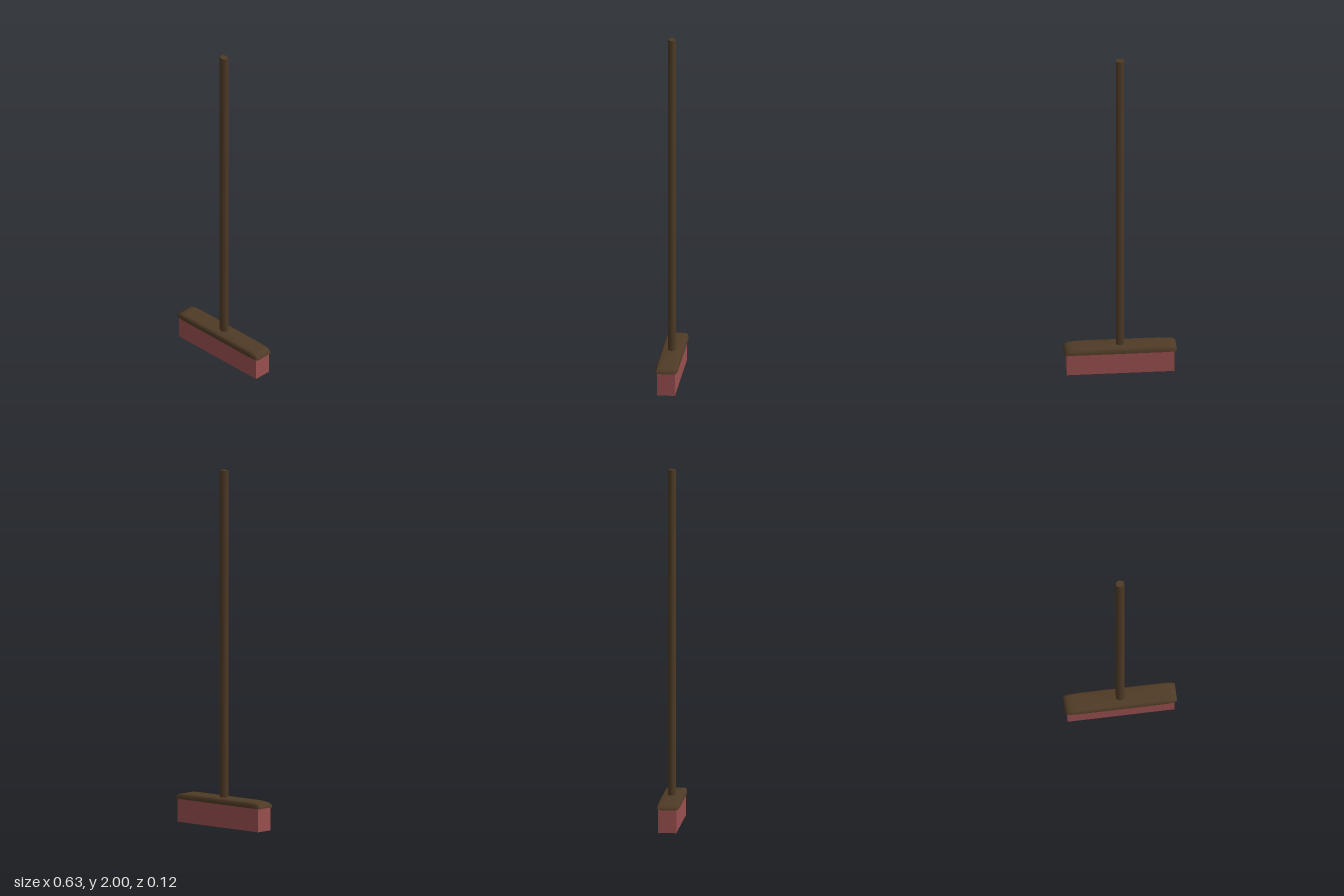
import * as THREE from 'three';

const wood = new THREE.MeshStandardMaterial({ name: 'dark wood', color: 0x4f3b26 });
const red = new THREE.MeshStandardMaterial({ name: 'red bristle', color: 0x9a4f4f });

// Head block: plan outline with clipped corners, stacked in rings that shrink upwards
function headGeometry() {
  const quarter = [[0.314, 0.05], [0.3, 0.058], [0.255, 0.062]];
  const mirrorX = quarter.map(([x, z]) => [-x, z]).reverse();
  const half = [...quarter.map(([x, z]) => [x, -z]), ...mirrorX.map(([x, z]) => [x, -z])];
  const outline = [...half, ...half.map(([x, z]) => [-x, -z])];
  const n = outline.length;
  // each ring: height, half length, half depth
  const rings = [[0.131, 0.314, 0.062], [0.144, 0.312, 0.061], [0.156, 0.295, 0.056], [0.163, 0.26, 0.048]];
  const pos = [], idx = [];
  for (const [y, hx, hz] of rings) {
    for (const [x, z] of outline) pos.push(x * hx / 0.314, y, z * hz / 0.062);
  }
  for (let r = 0; r < rings.length - 1; r++) {
    for (let j = 0; j < n; j++) {
      const a = r * n + j, b = r * n + (j + 1) % n;
      idx.push(a, b, b + n, a, b + n, a + n);
    }
  }
  // top joined smoothly, underside with its own vertices for a sharp rim
  const top = (rings.length - 1) * n, topCentre = pos.length / 3;
  pos.push(0, 0.164, 0);
  const low = topCentre + 1;
  for (const [x, z] of outline) pos.push(x, rings[0][0], z);
  const lowCentre = low + n;
  pos.push(0, rings[0][0], 0);
  for (let j = 0; j < n; j++) {
    const k = (j + 1) % n;
    idx.push(topCentre, top + j, top + k, lowCentre, low + k, low + j);
  }
  const g = new THREE.BufferGeometry();
  g.setAttribute('position', new THREE.Float32BufferAttribute(pos, 3));
  g.setIndex(idx);
  g.computeVertexNormals();
  return g;
}

export function createModel() {
  const group = new THREE.Group();
  group.name = 'broom';
  const add = (name, geometry, material, y = 0) => {
    const mesh = new THREE.Mesh(geometry, material);
    mesh.name = name;
    mesh.position.y = y;
    group.add(mesh);
    return mesh;
  };

  // Bristle block
  add('bristles', new THREE.BoxGeometry(0.6, 0.133, 0.102), red, 0.0665);
  // Wooden head
  add('head', headGeometry(), wood);
  // Six-sided handle, slightly flattened front to back
  const handle = add('handle', new THREE.CylinderGeometry(0.026, 0.026, 1.85, 6), wood, 1.075);
  handle.scale.z = 0.85;

  return group;
}
